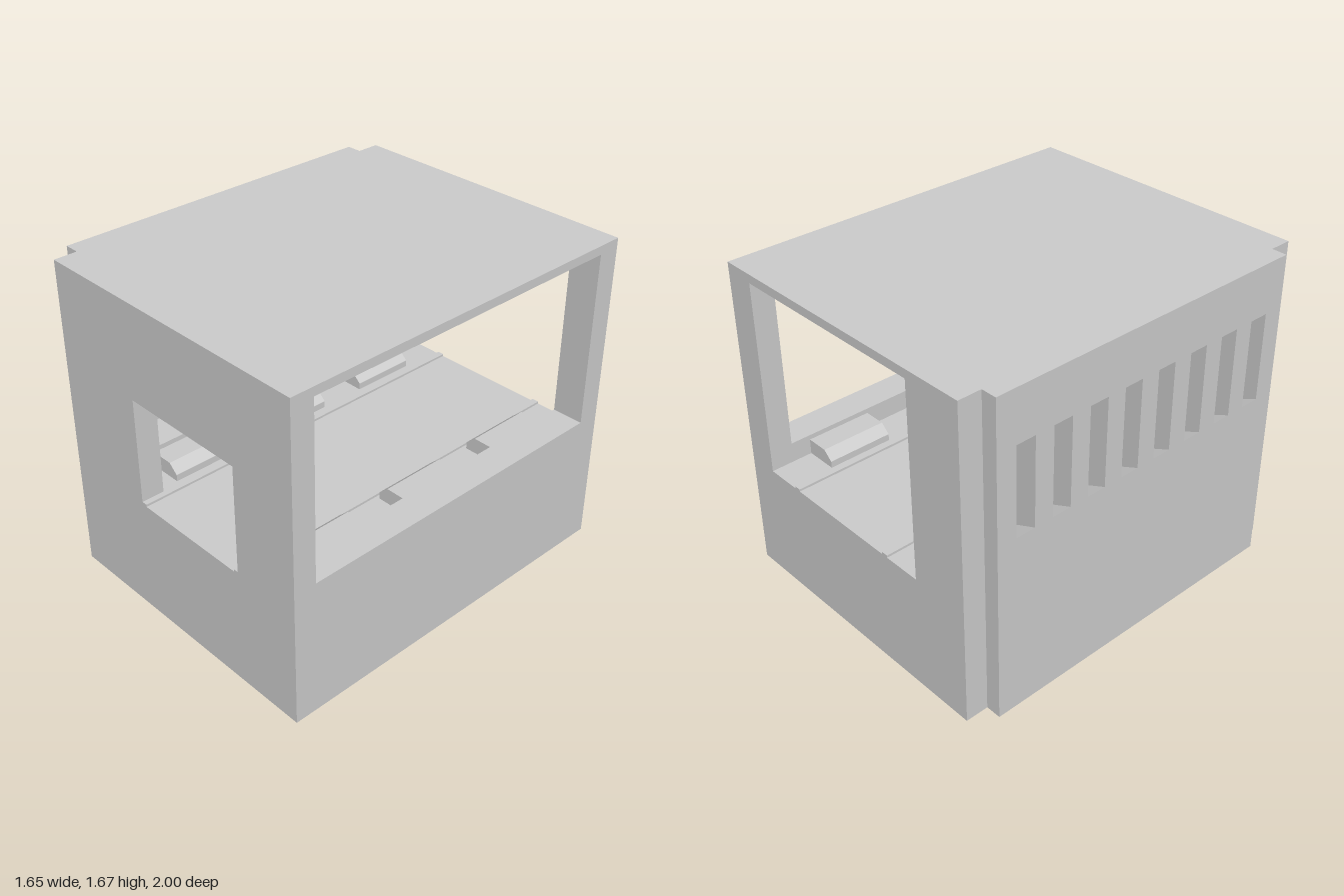
import * as THREE from 'three';

const material = new THREE.MeshStandardMaterial({ color: 0xcccccc, flatShading: true });

// Main levels and planes
const OUT = 0.825, BODY = -0.745, END = 0.88;      // outer side, body side, inner end-wall plane
const FLOOR = 0.615, SILL = 0.72, CEIL = 1.63, TOP = 1.675;
const IN_R = 0.66, IN_L = -0.43, RECESS = -0.62;   // inner faces of the side walls
const MID = 0.12, PITCH = 0.2067, SLOT = 0.104;

export function createModel() {
  const group = new THREE.Group();

  const shapeOf = (pts) => new THREE.Shape(pts.map(([x, y]) => new THREE.Vector2(x, y)));

  // Cross-section in x/y, swept from z0 to z1
  function prism(name, pts, z0, z1) {
    const geo = new THREE.ExtrudeGeometry(shapeOf(pts), { depth: z1 - z0, bevelEnabled: false });
    geo.translate(0, 0, z0);
    const mesh = new THREE.Mesh(geo, material);
    mesh.name = name;
    group.add(mesh);
    return mesh;
  }
  const rect = (x0, x1, y0, y1) => [[x0, y0], [x1, y0], [x1, y1], [x0, y1]];

  // Floor plan with the projecting slotted side, used for base and roof
  function slab(name, y0, y1) {
    const plan = [[BODY, -1], [OUT, -1], [OUT, 1], [BODY, 1],
      [BODY, END], [-OUT, END], [-OUT, -END], [BODY, -END]];
    const geo = new THREE.ExtrudeGeometry(shapeOf(plan), { depth: y1 - y0, bevelEnabled: false });
    geo.rotateX(-Math.PI / 2).translate(0, y0, 0);
    const mesh = new THREE.Mesh(geo, material);
    mesh.name = name;
    group.add(mesh);
  }
  slab('base', 0, FLOOR);
  slab('roof', CEIL, TOP);

  // End walls: an opening rising from the floor
  const endWall = (name, x0, x1, top, z0, z1) => prism(name, [
    [BODY, FLOOR], [x0, FLOOR], [x0, top], [x1, top], [x1, FLOOR],
    [OUT, FLOOR], [OUT, CEIL], [BODY, CEIL]], z0, z1);
  endWall('frontWall', -0.225, 0.46, 1.18, END, 1);
  prism('backWallLeft', rect(IN_R, OUT, FLOOR, CEIL), -1, -END);
  prism('backWallRight', rect(BODY, IN_L, FLOOR, CEIL), -1, -END);

  // Sill of the wide side opening
  prism('sideSill', rect(IN_R, OUT, FLOOR, SILL), -END, END);

  // Slotted side: ledge, header with sloped underside, posts and slot sills
  prism('ledge', rect(-OUT, IN_L, FLOOR, SILL), -END, END);
  prism('header', [[-OUT, 1.41], [RECESS, 1.41], [IN_L, 1.44], [IN_L, CEIL], [-OUT, CEIL]], -END, END);
  for (let i = 0; i <= 8; i++) {
    const z = (i - 3.5) * PITCH;
    const z0 = i === 0 ? -END : z - PITCH + SLOT / 2;
    const z1 = i === 8 ? END : z - SLOT / 2;
    prism('post', rect(-OUT, RECESS, SILL, 1.41), z0, z1);
    if (i < 8) {
      prism('slotSill', [[-OUT, SILL], [RECESS, SILL], [RECESS, 0.86], [-OUT, 0.95]],
        z - SLOT / 2, z + SLOT / 2);
    }
  }

  // Floor strips and chamfered blocks, mirrored about the room's centre line
  for (const s of [-1, 1]) {
    const a = MID + s * 0.315, b = MID + s * 0.35;
    prism('floorStrip', rect(Math.min(a, b), Math.max(a, b), FLOOR, FLOOR + 0.012), -1, 1);
    const wall = s > 0 ? IN_R : IN_L;
    for (const z of [-0.6, 0, 0.6]) {
      prism('block', [[wall, FLOOR], [wall, 0.695], [wall - s * 0.12, 0.695],
        [wall - s * 0.17, 0.65], [wall - s * 0.17, FLOOR]], z - 0.175, z + 0.175);
    }
  }
  return group;
}
